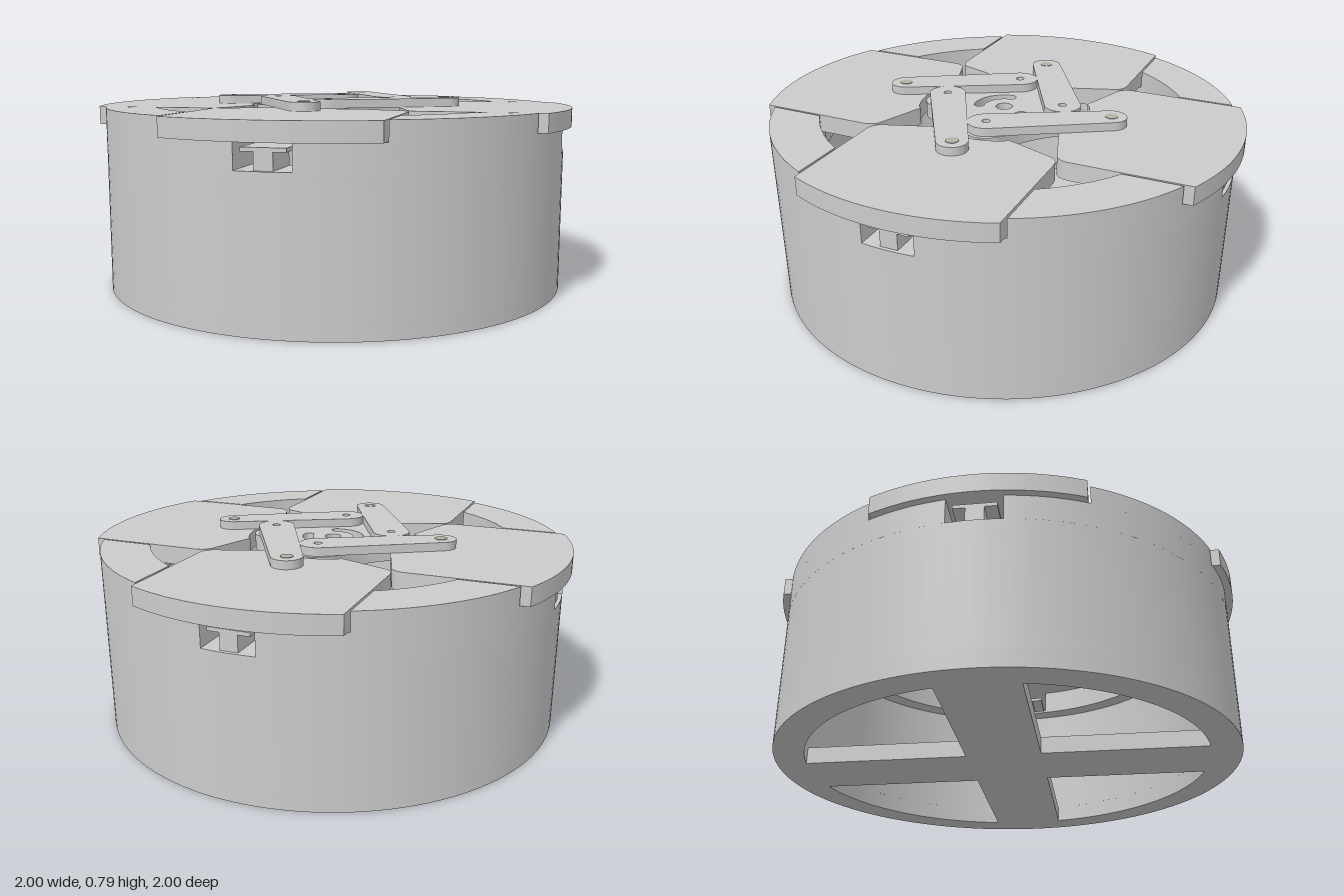
import * as THREE from 'three';
import { toCreasedNormals } from 'three/addons/utils/BufferGeometryUtils.js';

const grey = new THREE.MeshStandardMaterial({ color: 0xcccccc });
const pinMaterial = new THREE.MeshStandardMaterial({ color: 0xb4b2a4 });

// Horizontal slab: shape is drawn as (x, z), filling y0..y1
function slab(name, shape, y0, y1, segments = 32) {
  const g = new THREE.ExtrudeGeometry(shape, { depth: y1 - y0, bevelEnabled: false, curveSegments: segments });
  g.rotateX(Math.PI / 2).translate(0, y1, 0);
  const mesh = new THREE.Mesh(toCreasedNormals(g, 0.5), grey);
  mesh.name = name;
  return mesh;
}

function box(name, w, h, d, x, y, z) {
  const mesh = new THREE.Mesh(new THREE.BoxGeometry(w, h, d), grey);
  mesh.position.set(x, y, z);
  mesh.name = name;
  return mesh;
}

function circle(r, x = 0, y = 0, type = THREE.Path) {
  const p = new type();
  p.absarc(x, y, r, 0, Math.PI * 2, false);
  return p;
}

function ring(rIn, rOut) {
  const s = circle(rOut, 0, 0, THREE.Shape);
  s.holes.push(circle(rIn));
  return s;
}

// Quarter sector that stays `gap` away from both axes; rIn = 0 gives a wedge
function sector(rIn, rOut, gap, type = THREE.Shape) {
  const s = new type();
  const a = Math.asin(gap / rOut);
  s.absarc(0, 0, rOut, a, Math.PI / 2 - a, false);
  if (rIn > 0) {
    const b = Math.asin(gap / rIn);
    s.absarc(0, 0, rIn, Math.PI / 2 - b, b, true);
  } else s.lineTo(gap, gap);
  s.closePath();
  return s;
}

// Bar with round ends of different radii
function linkShape(ax, ay, ra, bx, by, rb) {
  const s = new THREE.Shape();
  const t = Math.atan2(by - ay, bx - ax);
  s.absarc(ax, ay, ra, t + Math.PI / 2, t + Math.PI * 1.5, false);
  s.absarc(bx, by, rb, t - Math.PI / 2, t + Math.PI / 2, false);
  s.closePath();
  return s;
}

// Curved slot running round the centre
function arcSlot(r, w, a0, a1) {
  const p = new THREE.Path();
  p.absarc(0, 0, r + w, a0, a1, false);
  p.absarc(r * Math.cos(a1), r * Math.sin(a1), w, a1, a1 + Math.PI, false);
  p.absarc(0, 0, r - w, a1, a0, true);
  p.absarc(r * Math.cos(a0), r * Math.sin(a0), w, a0 + Math.PI, a0 + Math.PI * 2, false);
  return p;
}

// Sliding jaw plate on the +z side, hollowed to clear the cam
function plateShape() {
  const s = new THREE.Shape();
  const w = 0.403, a = Math.asin(w / 1), c = 0.36;
  const b = Math.asin(0.15 / c);
  s.absarc(0, 0, 1, a, Math.PI - a, false);
  s.absarc(0, 0, 1, Math.PI / 2 - a, Math.PI / 2 + a, false);
  const q = new THREE.Shape();
  q.absarc(0, 0, 1, Math.PI / 2 - a, Math.PI / 2 + a, false);
  q.lineTo(-w, 0.45);
  q.quadraticCurveTo(-w, 0.395, -0.36, 0.382);
  q.lineTo(-0.18, 0.318);
  q.quadraticCurveTo(-0.155, 0.308, -c * Math.sin(b), c * Math.cos(b));
  q.absarc(0, 0, c, Math.PI / 2 + b, Math.PI / 2 - b, true);
  q.quadraticCurveTo(0.155, 0.308, 0.18, 0.318);
  q.lineTo(0.36, 0.382);
  q.quadraticCurveTo(w, 0.395, w, 0.45);
  q.closePath();
  return q;
}

// Four-lobed cam: rounded corners joined by nearly straight flanks
function camShape() {
  const s = new THREE.Shape();
  const R = 0.253, t0 = Math.atan2(0.035, -0.25);
  for (let i = 0; i < 4; i++) {
    const t = t0 + i * Math.PI / 2;
    s.absarc(R * Math.cos(t), R * Math.sin(t), 0.092, t - 0.9, t + 0.9, false);
    const m = t + Math.PI / 4;
    s.quadraticCurveTo(0.21 * Math.cos(m), 0.21 * Math.sin(m),
      R * Math.cos(t + Math.PI / 2) + 0.092 * Math.cos(t + Math.PI / 2 - 0.9),
      R * Math.sin(t + Math.PI / 2) + 0.092 * Math.sin(t + Math.PI / 2 - 0.9));
  }
  s.holes.push(circle(0.035), arcSlot(0.108, 0.022, -1.15, -0.1), arcSlot(0.108, 0.022, 1.35, 3.0));
  return s;
}

export function createModel() {
  const model = new THREE.Group();
  const R = 0.97;

  // Housing: base with crossed spokes, outer wall, inward flange
  const base = circle(R, 0, 0, THREE.Shape);
  for (let i = 0; i < 4; i++) {
    const pts = sector(0, 0.845, 0.155, THREE.Path).getPoints(32)
      .map(p => p.rotateAround(new THREE.Vector2(), i * Math.PI / 2));
    base.holes.push(new THREE.Path(pts));
  }
  model.add(slab('baseCross', base, 0, 0.07, 64));
  model.add(slab('wall', ring(0.845, R), 0.07, 0.57, 64));
  model.add(slab('flangeFloor', ring(0.77, R), 0.57, 0.58, 64));
  model.add(slab('cam', camShape(), 0.69, 0.755, 20));

  // Everything that repeats on the four sides
  for (let i = 0; i < 4; i++) {
    const side = new THREE.Group();
    side.name = 'side' + (i + 1);
    side.rotation.y = i * Math.PI / 2;

    side.add(slab('flange', sector(0.77, R, 0.105), 0.58, 0.68));
    side.add(slab('topSegment', sector(0.77, R, 0.412), 0.68, 0.755));

    // T-shaped guide rail in the slot
    side.add(box('railStem', 0.07, 0.065, 0.18, 0, 0.6125, 0.865));
    side.add(box('railHead', 0.165, 0.015, 0.18, 0, 0.6525, 0.865));

    side.add(slab('slidingPlate', plateShape(), 0.68, 0.755));

    // Link from the plate pin to the cam lobe
    const link = linkShape(0, 0.475, 0.063, -0.25, 0.035, 0.076);
    link.holes.push(circle(0.017, -0.25, 0.035));
    side.add(slab('link', link, 0.755, 0.79, 20));

    const pin = new THREE.Mesh(new THREE.CylinderGeometry(0.026, 0.026, 0.1, 24), pinMaterial);
    pin.position.set(0, 0.742, 0.475);
    pin.name = 'pin';
    side.add(pin);
    model.add(side);
  }
  return model;
}
